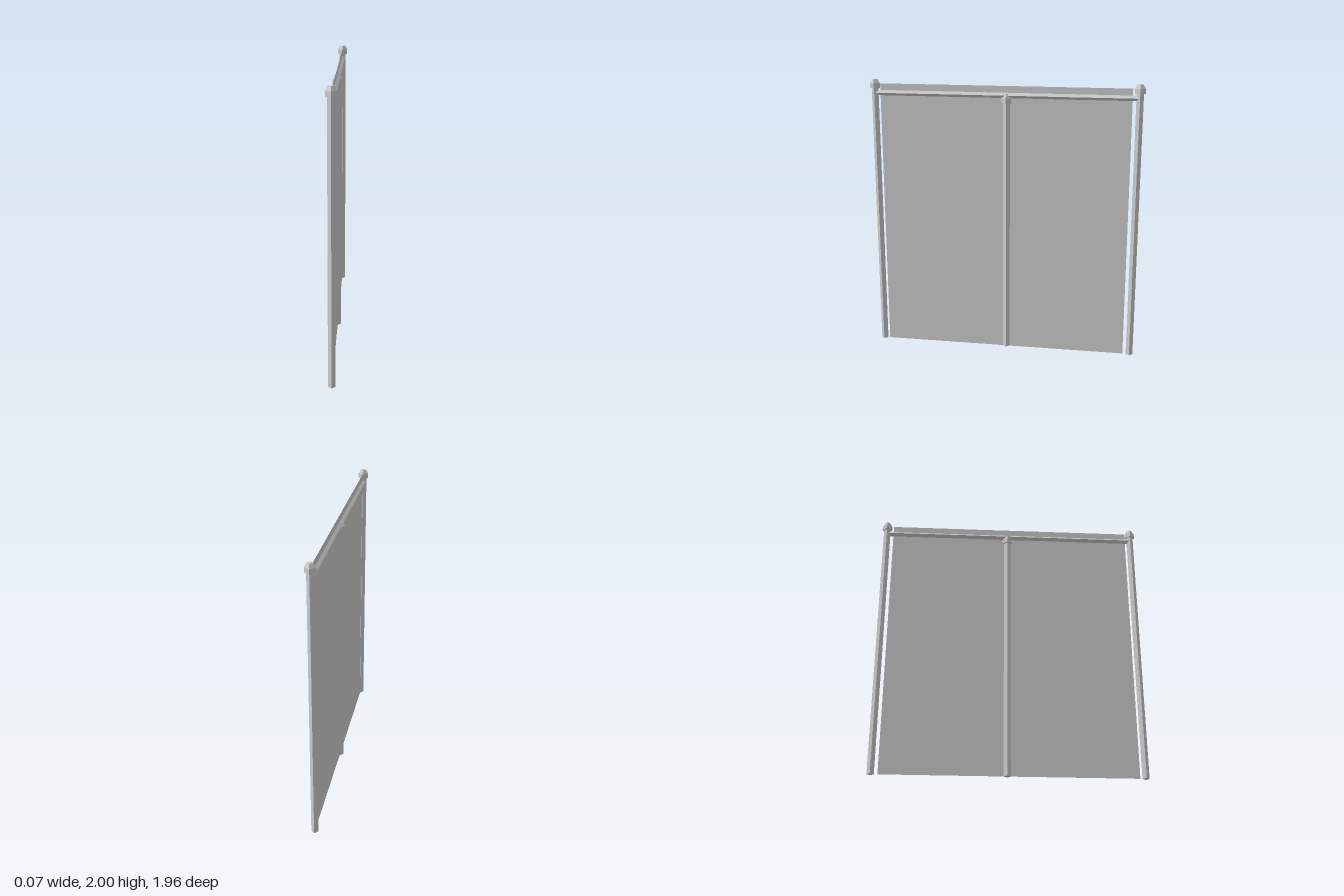
import * as THREE from 'three';

export function createModel() {
  const group = new THREE.Group();
  const material = new THREE.MeshStandardMaterial({ color: 0xcccccc, flatShading: true });
  const sheetMaterial = new THREE.MeshStandardMaterial({ color: 0xcccccc, side: THREE.DoubleSide });

  const add = (name, geometry, y, z, mat = material) => {
    const mesh = new THREE.Mesh(geometry, mat);
    mesh.name = name;
    mesh.position.set(0, y, z);
    group.add(mesh);
    return mesh;
  };

  // Square bar, turned so its corners lie on the axes
  const bar = (radius, length) => new THREE.CylinderGeometry(radius, radius, length, 4);

  // Four-sided cap with a straight skirt and a sloped, blunt top
  const capGeometry = new THREE.LatheGeometry(
    [[0, 0], [0.037, 0], [0.037, 0.035], [0.02, 0.065], [0, 0.065]].map(([r, y]) => new THREE.Vector2(r, y)),
    4
  );

  // A post standing on the ground with a cap over its top
  const addPost = (name, z, capBase) => {
    const height = capBase + 0.02;
    add(name + 'Post', bar(0.025, height), height / 2, z);
    add(name + 'Cap', capGeometry, capBase, z);
  };

  addPost('front', 0.942, 1.935);
  addPost('back', -0.942, 1.935);
  addPost('middle', -0.015, 1.85);

  // Top rail between the end posts
  add('topRail', bar(0.019, 1.87), 1.904, 0).rotation.x = Math.PI / 2;

  // Thin fence sheet
  add('fencePanel', new THREE.PlaneGeometry(1.796, 1.97), 0.985, 0.005, sheetMaterial).rotation.y = Math.PI / 2;

  return group;
}
